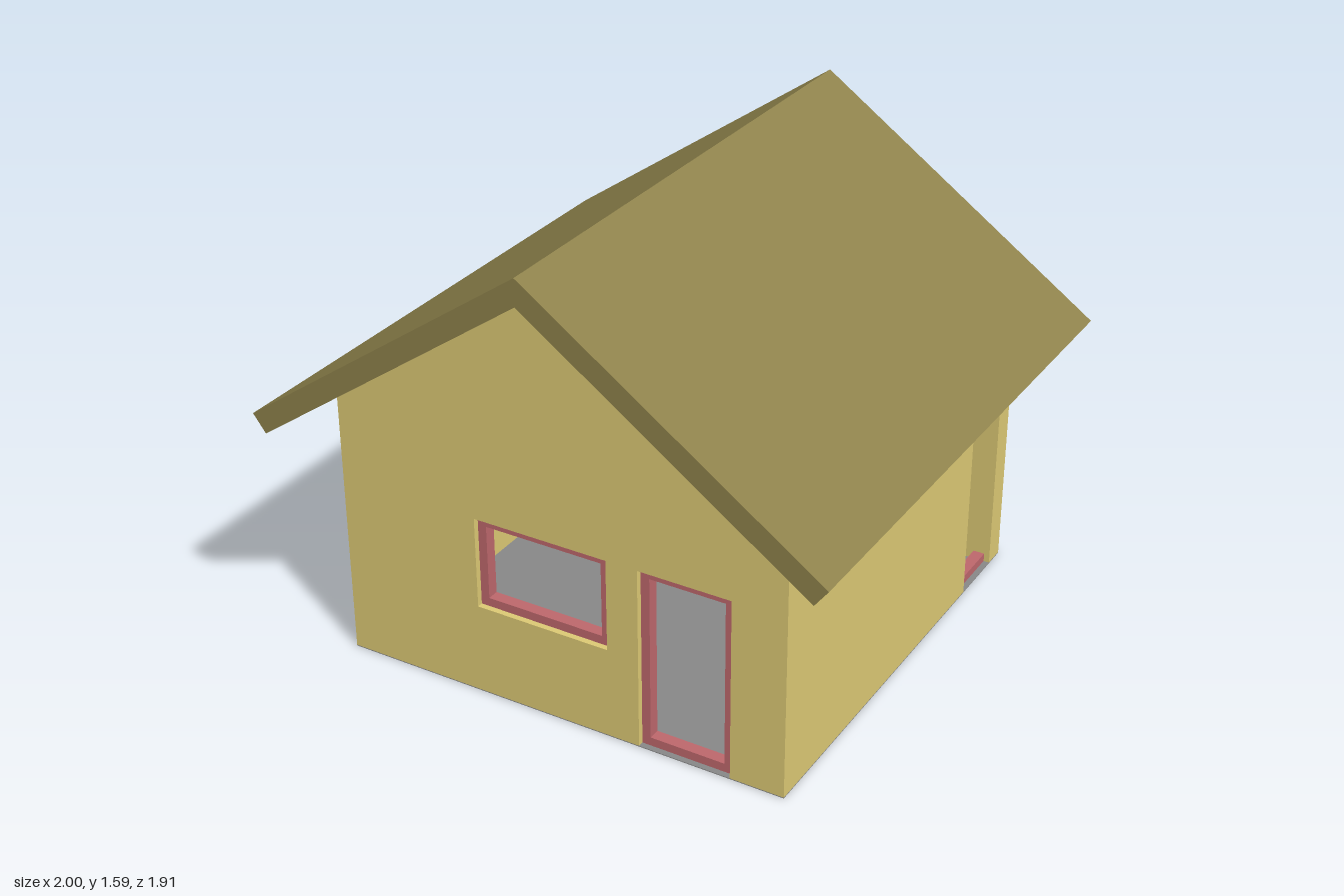
import * as THREE from 'three';

const HALF = 0.795;      // half the width of the house
const THICK = 0.08;      // wall thickness
const BASE = 0.003;      // top of the floor slab
const BAR = 0.03;        // width of the frame bars

const material = (color) => new THREE.MeshStandardMaterial({ color, flatShading: true });
const wallMat = material(0xdcc974);
const roofMat = material(0x8e824b);
const frameMat = material(0xbd676c);
const floorMat = material(0x888888);

const toVectors = (points) => points.map(([x, y]) => new THREE.Vector2(x, y));

function rectPath(x0, y0, x1, y1) {
  return new THREE.Path(toVectors([[x0, y0], [x0, y1], [x1, y1], [x1, y0]]));
}

function extrude(name, shape, depth, z, mat) {
  const geometry = new THREE.ExtrudeGeometry(shape, { depth, bevelEnabled: false });
  geometry.translate(0, 0, z);
  const mesh = new THREE.Mesh(geometry, mat);
  mesh.name = name;
  return mesh;
}

// Frame set back in the middle of the wall
function frame(name, [x0, y0, x1, y1]) {
  const shape = new THREE.Shape(toVectors([[x0, y0], [x1, y0], [x1, y1], [x0, y1]]));
  shape.holes.push(rectPath(x0 + BAR, y0 + BAR, x1 - BAR, y1 - BAR));
  return extrude(name, shape, 0.04, HALF - THICK + 0.02, frameMat);
}

// Wall facing its own +z, with one door notch, optional window and framed openings
function wall(name, angle, topPoints, door, win) {
  const group = new THREE.Group();
  group.name = name;
  const [d0, , d1, dTop] = door;
  const shape = new THREE.Shape(toVectors([
    [-HALF, BASE], [d0, BASE], [d0, dTop], [d1, dTop], [d1, BASE], [HALF, BASE], ...topPoints,
  ]));
  group.add(frame('doorFrame', door));
  if (win) {
    shape.holes.push(rectPath(...win));
    group.add(frame('windowFrame', win));
  }
  group.add(extrude('wallPanel', shape, THICK, HALF - THICK, wallMat));
  group.rotation.y = angle;
  return group;
}

export function createModel() {
  const house = new THREE.Group();
  house.name = 'house';

  // Floor slab
  const floor = new THREE.Mesh(new THREE.BoxGeometry(HALF * 2, BASE, HALF * 2), floorMat);
  floor.name = 'floor';
  floor.position.y = BASE / 2;
  house.add(floor);

  // Walls: gables at front and back, low walls at the sides; tops end inside the roof
  const gable = [[HALF, 0.955], [0, 1.51], [-HALF, 0.955]];
  const eave = [[HALF, 0.995], [-HALF, 0.995]];
  house.add(
    wall('frontWall', 0, gable, [0.29, BASE, 0.61, 0.64], [-0.295, 0.32, 0.18, 0.64]),
    wall('backWall', Math.PI, gable, [-0.425, BASE, 0.345, 0.64]),
    wall('leftWall', Math.PI / 2, eave, [0.5, BASE, 0.75, 0.64]),
    wall('rightWall', -Math.PI / 2, eave, [-0.565, BASE, -0.315, 0.64]),
  );

  // Pitched roof with overhanging eaves
  const roof = new THREE.Shape(toVectors([
    [0, 1.59], [-1, 0.89], [-0.955, 0.83], [0, 1.5], [0.955, 0.83], [1, 0.89],
  ]));
  house.add(extrude('roof', roof, 1.91, -0.955, roofMat));

  return house;
}
